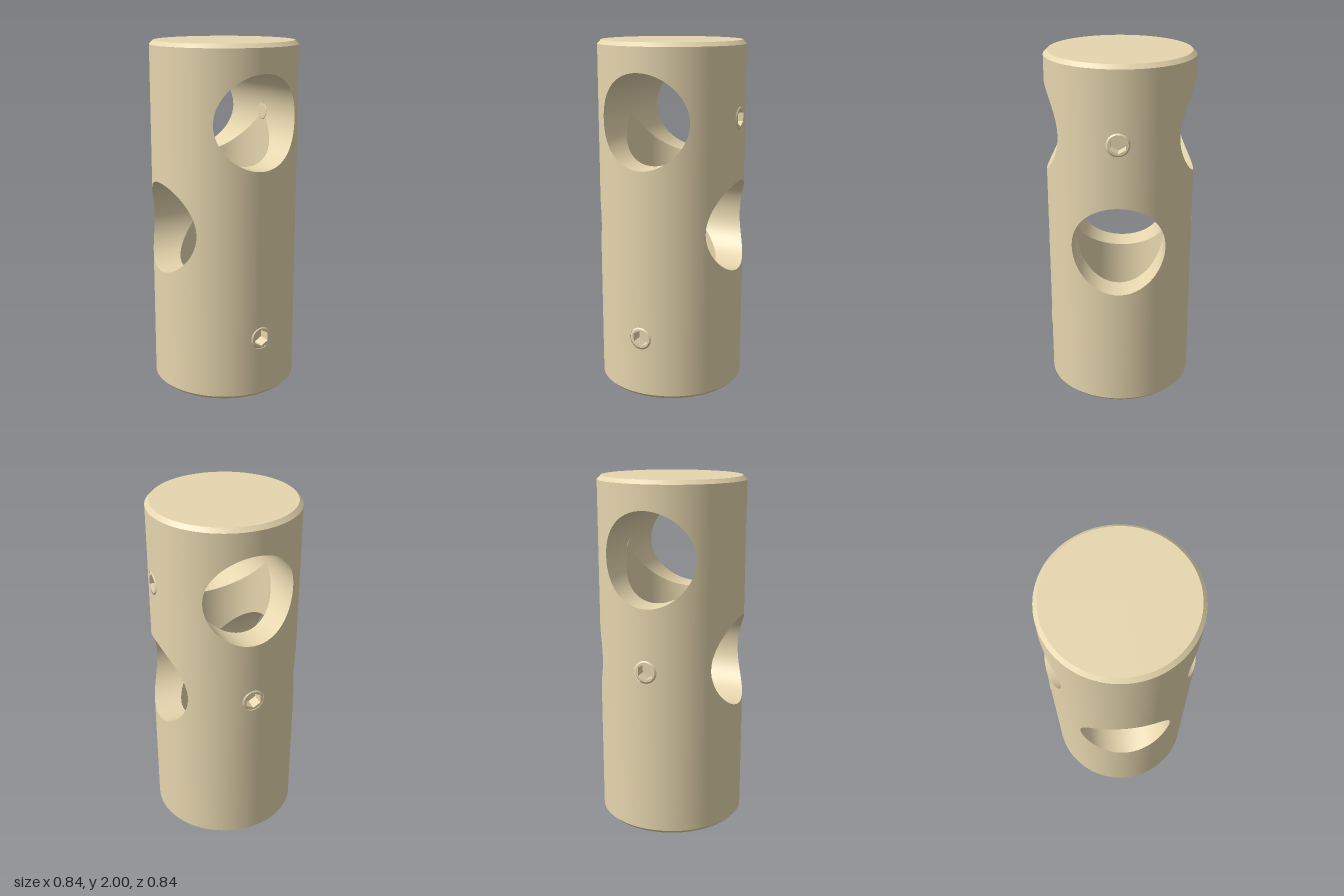
import * as THREE from 'three';
import { toCreasedNormals } from 'three/addons/utils/BufferGeometryUtils.js';

const R = 0.418;        // body radius
const r = 0.26;         // radius of all three bores
const EDGE = 0.022;     // chamfer size
const SCREW_R = 0.065;
const Y_UPPER = 1.583, Y_LOWER = 0.97, Y_SCREW = 0.36;

// Grid surface: f(u, v) gives { p, n }; the winding follows the normals n
function surface(nu, nv, f) {
  const pos = [], nor = [], idx = [];
  for (let j = 0; j <= nv; j++) {
    for (let i = 0; i <= nu; i++) {
      const { p, n } = f(i / nu, j / nv);
      pos.push(...p);
      nor.push(...n);
    }
  }
  const at = (k, arr) => new THREE.Vector3().fromArray(arr, k * 3);
  let facing = 0;
  const w = nu + 1;
  for (let j = 0; j < nv; j++) {
    for (let i = 0; i < nu; i++) {
      const a = j * w + i, b = a + 1, c = a + w, d = c + 1;
      idx.push(a, b, d, a, d, c);
      const A = at(a, pos);
      facing += at(b, pos).sub(A).cross(at(d, pos).sub(A)).dot(at(a, nor));
    }
  }
  if (facing < 0) idx.reverse();
  const g = new THREE.BufferGeometry();
  g.setAttribute('position', new THREE.Float32BufferAttribute(pos, 3));
  g.setAttribute('normal', new THREE.Float32BufferAttribute(nor, 3));
  g.setIndex(idx);
  return g;
}

// Quarter-turn panel of the outer wall, centred on `turn`, with a round hole
function wallPanel(turn, y0, y1, holeY, holeR) {
  return surface(128, 10, (u, v) => {
    const side = Math.min(3, Math.floor(u * 4)), k = (u * 4 - side) * 2 - 1;
    const [s, t] = [[1, k], [-k, 1], [-1, -k], [k, -1]][side];
    const a = Math.atan2(t, s);
    const th = turn + THREE.MathUtils.lerp(Math.asin(holeR * Math.cos(a) / R), s * Math.PI / 4, v);
    const y = THREE.MathUtils.lerp(holeY + holeR * Math.sin(a), t > 0 ? y0 + (y1 - y0) * (t + 1) / 2 : y0 + (y1 - y0) * (t + 1) / 2, v);
    const n = [Math.sin(th), 0, Math.cos(th)];
    return { p: [R * n[0], y, R * n[2]], n };
  });
}

// Half of a cross bore, from the axial bore out to the wall
function crossBore(alongX, y, sign, meetsAbove) {
  return surface(128, 4, (u, v) => {
    const a = u * Math.PI * 2, c = Math.cos(a), s = Math.sin(a);
    const inner = s > 0 && !meetsAbove ? 0 : Math.abs(r * s);
    const d = sign * THREE.MathUtils.lerp(inner, Math.sqrt(R * R - r * r * c * c), v);
    return alongX
      ? { p: [d, y + r * s, r * c], n: [0, -s, -c] }
      : { p: [r * c, y + r * s, d], n: [-c, -s, 0] };
  });
}

// Stretch of the axial bore between two height rules
function axialBore(from, to) {
  return surface(128, 2, (u, v) => {
    const a = u * Math.PI * 2, x = r * Math.cos(a), z = r * Math.sin(a);
    return { p: [x, THREE.MathUtils.lerp(from(x, z), to(x, z), v), z], n: [-x / r, 0, -z / r] };
  });
}

const lathe = (pts, seg = 96) => toCreasedNormals(
  new THREE.LatheGeometry(pts.map(([x, y]) => new THREE.Vector2(x, y)), seg).toNonIndexed(), 0.5);

export function createModel() {
  const model = new THREE.Group();
  model.name = 'crossBoredConnector';
  const material = new THREE.MeshStandardMaterial({ color: 0xe6d6ae });
  const add = (parent, name, geometry) => {
    const mesh = new THREE.Mesh(geometry, material);
    mesh.name = name;
    parent.add(mesh);
    return mesh;
  };

  // Outer wall: three bands, each with a hole size for front, +x, back, -x
  const body = new THREE.Group();
  body.name = 'body';
  model.add(body);
  const bands = [
    [EDGE, 0.66, Y_SCREW, [SCREW_R, 0, 0, 0]],
    [0.66, 1.28, Y_LOWER, [0, r, SCREW_R, r]],
    [1.28, 2 - EDGE, Y_UPPER, [r, SCREW_R, r, 0]],
  ];
  for (const [y0, y1, holeY, holes] of bands) {
    holes.forEach((h, i) => add(body, 'wallPanel', wallPanel(i * Math.PI / 2, y0, y1, holeY, h)));
  }

  // Chamfered solid top and chamfered ring at the bottom
  add(body, 'topCap', lathe([[R, 2 - EDGE], [R - EDGE, 2], [0, 2]]));
  add(body, 'bottomRing', lathe([[r, EDGE], [r + EDGE, 0], [R - EDGE, 0], [R, EDGE]]));

  // Two cross bores and the axial bore that joins them
  for (const sign of [1, -1]) {
    add(body, 'upperBore', crossBore(false, Y_UPPER, sign, false));
    add(body, 'lowerBore', crossBore(true, Y_LOWER, sign, true));
  }
  add(body, 'axialBoreLower', axialBore(() => EDGE, (x) => Y_LOWER - Math.abs(x)));
  add(body, 'axialBoreUpper', axialBore((x) => Y_LOWER + Math.abs(x), (x, z) => Y_UPPER - Math.abs(z)));

  // Set screws with hexagon sockets, one clamping each bore
  const depth = 0.07, len = R - r + 0.004;
  const face = new THREE.Shape().absarc(0, 0, 0.056, 0, Math.PI * 2);
  const hex = Array.from({ length: 6 }, (_, i) => {
    const a = Math.PI / 6 + i * Math.PI / 3;
    return new THREE.Vector2(0.048 * Math.cos(a), 0.048 * Math.sin(a));
  });
  // pointed corners up and down
  face.holes.push(new THREE.Path(hex.concat(hex[0].clone())));
  const headGeo = new THREE.ExtrudeGeometry(face, { depth, bevelEnabled: false, curveSegments: 24 });
  headGeo.translate(0, 0, -depth);
  const shankGeo = lathe([[0, -len], [0.045, -len], [SCREW_R, -len + 0.02], [SCREW_R, -0.008], [0.056, 0]], 48);
  shankGeo.rotateX(Math.PI / 2);
  const floorGeo = new THREE.CircleGeometry(0.05, 24).translate(0, 0, -depth + 0.002);
  for (const [y, turn] of [[Y_SCREW, 0], [Y_UPPER, Math.PI / 2], [Y_LOWER, Math.PI]]) {
    const screw = new THREE.Group();
    screw.name = 'setScrew';
    add(screw, 'screwShank', shankGeo);
    add(screw, 'screwHead', headGeo);
    add(screw, 'socketFloor', floorGeo);
    screw.position.set(R * Math.sin(turn), y, R * Math.cos(turn));
    screw.rotation.y = turn;
    model.add(screw);
  }
  return model;
}
